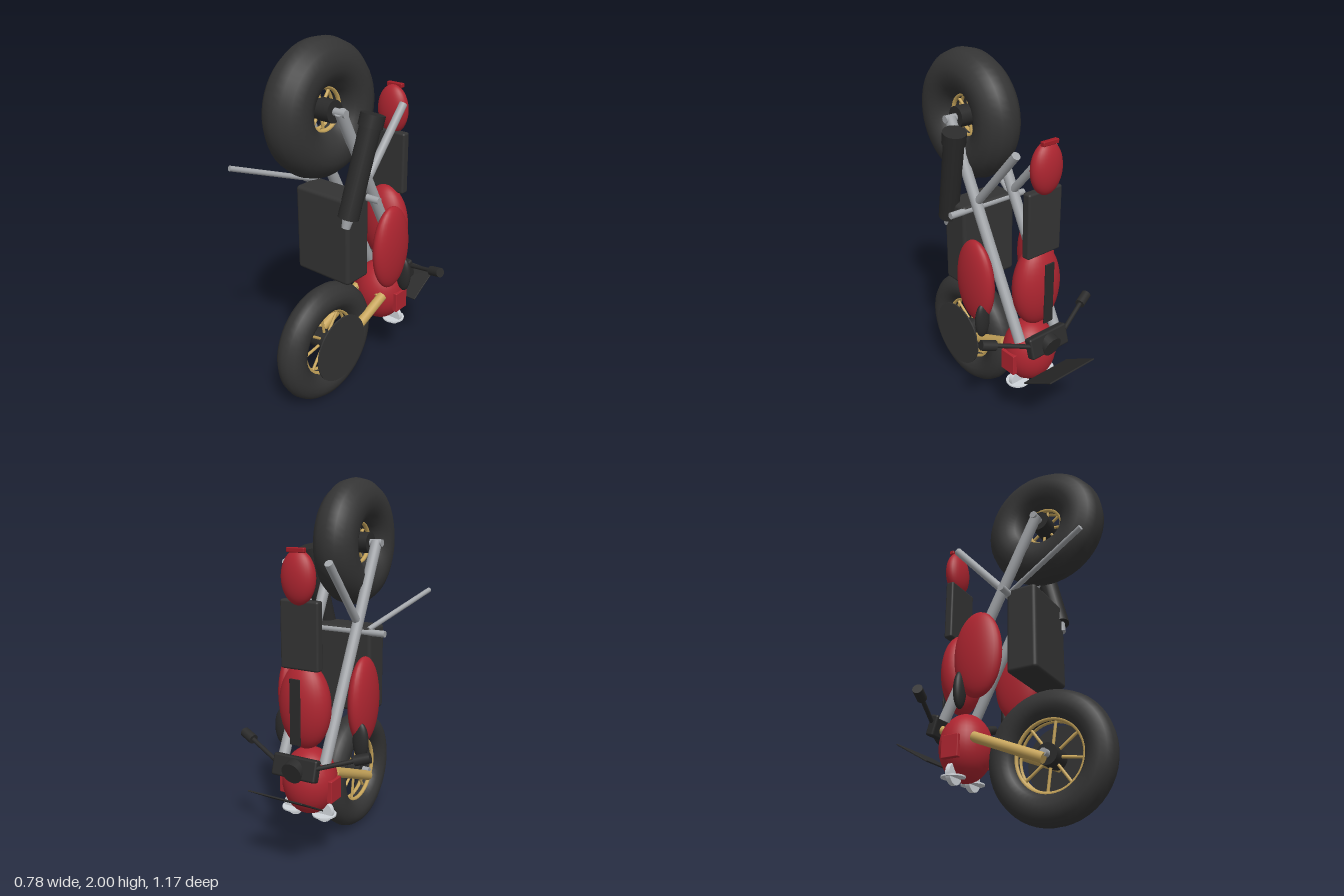
import * as THREE from 'three';
import { RoundedBoxGeometry } from 'three/addons/geometries/RoundedBoxGeometry.js';

const paint = (name, color) => {
  const m = new THREE.MeshStandardMaterial({ color });
  m.name = name;
  return m;
};

export function createModel() {
  const red = paint('red paint', 0xae2530);
  const lamp = paint('tail lamp red', 0xa31c26);
  const rubber = paint('tyre rubber', 0x343434);
  const black = paint('black plastic', 0x2a2a2a);
  const casing = paint('dark casing', 0x333333);
  const steel = paint('steel', 0xa2a5a9);
  const chrome = paint('bright chrome', 0xd0d5da);
  const gold = paint('gold', 0xc6a45a);

  const model = new THREE.Group();
  model.name = 'motorcycle';

  const add = (name, geo, mat, pos = [0, 0, 0], parent = model) => {
    const mesh = new THREE.Mesh(geo, mat);
    mesh.name = name;
    mesh.position.set(...pos);
    parent.add(mesh);
    return mesh;
  };
  // Round bar between two points
  const bar = (name, a, b, r, mat, rEnd = r, parent = model) => {
    const p = new THREE.Vector3(...a), q = new THREE.Vector3(...b);
    const dir = q.clone().sub(p);
    const mesh = add(name, new THREE.CylinderGeometry(rEnd, r, dir.length(), 20), mat,
      p.clone().add(q).multiplyScalar(0.5).toArray(), parent);
    mesh.quaternion.setFromUnitVectors(new THREE.Vector3(0, 1, 0), dir.normalize());
    return mesh;
  };
  const egg = (name, pos, radii, mat) => {
    const mesh = add(name, new THREE.SphereGeometry(1, 32, 20), mat, pos);
    mesh.scale.set(...radii);
    return mesh;
  };
  const box = (name, pos, size, r, mat) =>
    add(name, new RoundedBoxGeometry(...size, 3, r), mat, pos);

  // Wheels: tyre, rim, hub and spokes turning about x
  const wheel = (name, y, tube, hubHalf, axleHalf) => {
    const g = new THREE.Group();
    g.name = name;
    g.position.set(0, y, 0.243);
    model.add(g);
    const major = 0.341 - tube, inner = major - tube;
    add('tyre', new THREE.TorusGeometry(major, tube, 14, 48), rubber, [0, 0, 0], g).rotation.y = Math.PI / 2;
    for (const s of [-1, 1]) {
      add('rim', new THREE.TorusGeometry(inner + 0.005, 0.012, 8, 40), gold, [s * 0.022, 0, 0], g).rotation.y = Math.PI / 2;
    }
    bar('hub', [-hubHalf, 0, 0], [hubHalf, 0, 0], 0.056, black, 0.056, g);
    bar('axle', [-axleHalf, 0, 0], [axleHalf, 0, 0], 0.02, steel, 0.02, g);
    for (let i = 0; i < 8; i++) {
      const a = (i / 8) * Math.PI * 2 + 0.15, c = Math.cos(a), d = Math.sin(a);
      bar('spoke', [0, c * 0.04, d * 0.04], [0, c * (inner + 0.01), d * (inner + 0.01)], 0.008, gold, 0.008, g);
    }
    return g;
  };
  wheel('rearWheel', 1.66, 0.119, 0.09, 0.16);
  const front = wheel('frontWheel', 0.345, 0.08, 0.06, 0.1);
  bar('brakeDisc', [0.116, 0, 0], [0.124, 0, 0], 0.19, casing, 0.19, front)
    .geometry = new THREE.CylinderGeometry(0.19, 0.19, 0.008, 40);

  // Engine block and bodywork
  box('engineBlock', [0, 0.988, 0.17], [0.35, 0.475, 0.17], 0.02, casing);
  egg('tank', [0, 0.875, -0.29], [0.145, 0.23, 0.097], red);
  egg('noseFairing', [0, 0.455, -0.25], [0.15, 0.183, 0.14], red);
  egg('tail', [0, 1.53, -0.34], [0.095, 0.135, 0.055], red);
  box('tailLamp', [0, 1.662, -0.357], [0.1, 0.024, 0.027], 0.005, lamp);
  box('seat', [0, 1.245, -0.32], [0.22, 0.35, 0.05], 0.012, casing);
  box('tankStripe', [0, 0.863, -0.386], [0.06, 0.345, 0.008], 0.002, black);
  box('windscreen', [0, 0.428, -0.484], [0.32, 0.008, 0.228], 0.002, black).rotation.x = 0.533;

  // Instrument panel and gauge
  box('instrumentPanel', [0, 0.57, -0.385], [0.26, 0.115, 0.05], 0.012, black).rotation.x = 0.3;
  bar('gauge', [0, 0.565, -0.38], [0, 0.552, -0.43], 0.058, black);

  // Mirrored parts
  for (const s of [-1, 1]) {
    egg('sideFairing', [s * 0.213, 0.87, -0.057], [0.061, 0.237, 0.138], red);
    egg('sidePod', [s * 0.242, 0.68, -0.143], [0.044, 0.1, 0.028], black);
    box('noseSidePanel', [s * 0.145, 0.43, -0.25], [0.03, 0.12, 0.1], 0.004, red);
    bar('frameTube', [s * 0.125, 1.665, 0.245], [s * 0.125, 0.58, -0.31], 0.03, steel);
    bar('seatStrut', [s * 0.122, 1.27, 0.03], [s * 0.122, 1.597, -0.262], 0.022, steel);
    bar('forkLeg', [s * 0.092, 0.315, 0.243], [s * 0.092, 0.48, -0.15], 0.028, gold);
    bar('forkTop', [s * 0.07, 0.47, -0.13], [s * 0.058, 0.568, -0.4], 0.024, gold);
    bar('handlebar', [s * 0.11, 0.585, -0.393], [s * 0.36, 0.664, -0.307], 0.012, black);
    bar('grip', [s * 0.305, 0.647, -0.326], [s * 0.38, 0.67, -0.302], 0.027, black);
    // Round lamps under the nose
    add('lampDisc', new THREE.CylinderGeometry(0.064, 0.064, 0.008, 28), chrome, [s * 0.094, 0.285, -0.263]);
    bar('lampBody', [s * 0.09, 0.302, -0.276], [s * 0.09, 0.302, -0.25], 0.058, chrome);
  }

  // Foot rest bar and stand
  bar('footRest', [-0.255, 1.2, 0.098], [0.25, 1.2, 0.098], 0.018, steel);
  bar('stand', [-0.155, 1.215, 0.1], [-0.302, 1.38, 0.575], 0.014, steel);

  // Exhaust along a slanted axis
  const lo = new THREE.Vector3(0.162, 1.13, 0.235), hi = new THREE.Vector3(0.206, 1.64, 0.1);
  const at = (t) => lo.clone().lerp(hi, t).toArray();
  bar('exhaust', at(0), at(0.95), 0.054, black);
  bar('exhaustCap', at(0.88), at(1), 0.062, black);
  bar('exhaustInlet', at(-0.1), at(0.03), 0.022, steel, 0.032);

  return model;
}
